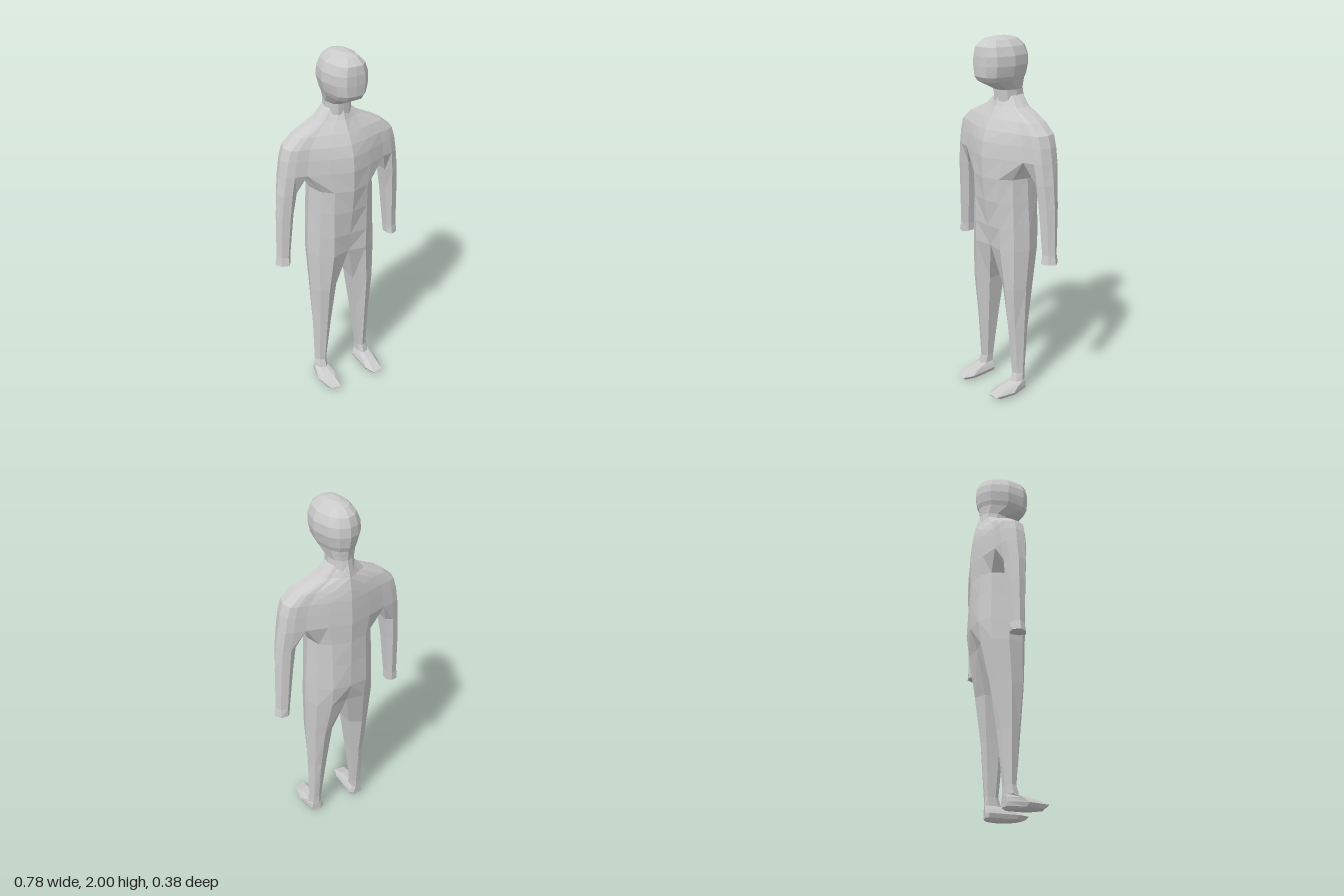
import * as THREE from 'three';

const material = new THREE.MeshStandardMaterial({ color: 0xcccccc, flatShading: true });

// Horizontal cross-section: front columns outward, an outer side point, back columns inward
function section(y, xs, fronts, backs) {
  const n = fronts.length;
  const ring = fronts.map((z, i) => [xs[i], y, z]);
  ring.push([xs[n], y, (fronts[n - 1] + backs[n - 1]) / 2]);
  for (let i = n - 1; i >= 0; i--) ring.push([xs[i], y, backs[i]]);
  return ring;
}

// Skin rings listed from top to bottom; side -1 mirrors the skin across x = 0
function skin(out, rings, side, { closed = false, capTop = false, capBottom = false } = {}) {
  const tri = (a, b, c) => {
    for (const p of side > 0 ? [a, b, c] : [a, c, b]) out.push(p[0] * side, p[1], p[2]);
  };
  const n = rings[0].length;
  for (let r = 0; r + 1 < rings.length; r++) {
    const a = rings[r], b = rings[r + 1];
    for (let i = 0; i < (closed ? n : n - 1); i++) {
      const j = (i + 1) % n;
      tri(b[i], b[j], a[j]);
      tri(b[i], a[j], a[i]);
    }
  }
  const top = rings[0], bottom = rings[rings.length - 1];
  for (let i = 1; i + 1 < n; i++) {
    if (capTop) tri(top[0], top[i], top[i + 1]);
    if (capBottom) tri(bottom[0], bottom[i + 1], bottom[i]);
  }
}

function makeMesh(name, rings, sides, options) {
  const positions = [];
  for (const side of sides) skin(positions, rings, side, options);
  const geometry = new THREE.BufferGeometry();
  geometry.setAttribute('position', new THREE.Float32BufferAttribute(positions, 3));
  geometry.computeVertexNormals();
  const mesh = new THREE.Mesh(geometry, material);
  mesh.name = name;
  return mesh;
}

export function createModel() {
  const model = new THREE.Group();
  model.name = 'figure';
  const both = [1, -1];

  // Head and neck: y, half width, front z, back z
  const headRows = [
    [2.0, 0.025, 0.045, -0.05],
    [1.987, 0.062, 0.1, -0.105],
    [1.955, 0.094, 0.134, -0.145],
    [1.91, 0.112, 0.141, -0.163],
    [1.86, 0.114, 0.142, -0.167],
    [1.805, 0.1, 0.139, -0.158],
    [1.78, 0.088, 0.122, -0.147],
    [1.75, 0.075, 0.06, -0.142],
    [1.73, 0.066, 0.022, -0.14],
    [1.67, 0.068, 0.018, -0.15],
  ];
  const headRings = headRows.map(([y, w, f, b]) => {
    const c = (f + b) / 2;
    return section(y, [0, 0.45 * w, 0.8 * w, w],
      [1, 0.97, 0.72].map((k) => c + (f - c) * k),
      [1, 0.88, 0.6].map((k) => c + (b - c) * k));
  });
  model.add(makeMesh('head', headRings, both, { capTop: true }));

  // Chest and shoulders: y, half width, front z, front edge z, back z, back edge z
  const chestRows = [
    [1.7, 0.066, 0.016, -0.03, -0.148, -0.1],
    [1.645, 0.12, 0.035, -0.01, -0.165, -0.1],
    [1.585, 0.25, 0.07, 0.005, -0.178, -0.1],
    [1.53, 0.315, 0.1, 0.01, -0.185, -0.1],
    [1.47, 0.334, 0.12, 0.01, -0.188, -0.1],
    [1.39, 0.347, 0.13, 0.01, -0.19, -0.1],
  ];
  const spread = [1, 0.67, 0.3, 0.17, 0];
  const chestRings = chestRows.map(([y, w, f, fe, b, be]) =>
    section(y, [0, 0.35, 0.66, 0.84, 0.95, 1].map((t) => t * w),
      spread.map((k) => fe + (f - fe) * k),
      spread.map((k) => be + (b - be) * k)));
  model.add(makeMesh('chest', chestRings, both, { capTop: true }));

  // Waist and hips, from the armpits down to the crotch
  const hipTop = section(0.88, [0, 0.1, 0.17, 0.199], [0.07, 0.09, 0.05], [-0.145, -0.16, -0.12]);
  const waistRings = [
    section(1.39, [0, 0.1215, 0.229, 0.23], [0.13, 0.09, 0.046], [-0.19, -0.16, -0.127]),
    section(1.28, [0, 0.1, 0.155, 0.178], [0.128, 0.1, 0.05], [-0.188, -0.163, -0.12]),
    section(1.15, [0, 0.1, 0.16, 0.185], [0.113, 0.095, 0.05], [-0.188, -0.168, -0.122]),
    section(1.0, [0, 0.1, 0.165, 0.195], [0.09, 0.092, 0.05], [-0.187, -0.175, -0.125]),
    hipTop,
  ];
  model.add(makeMesh('waist', waistRings, both));

  // Arms, each ending in a flat wrist
  const armRings = [
    section(1.39, [0.229, 0.2915, 0.33, 0.347], [0.046, 0.03, 0.01], [-0.127, -0.115, -0.1]),
    section(1.28, [0.27, 0.305, 0.345, 0.364], [0, 0.022, 0.005], [-0.085, -0.105, -0.09]),
    section(1.15, [0.286, 0.315, 0.355, 0.375], [-0.015, 0.012, -0.005], [-0.08, -0.1, -0.085]),
    section(0.9, [0.309, 0.33, 0.365, 0.382], [-0.025, -0.003, -0.015], [-0.07, -0.088, -0.075]),
    section(0.85, [0.31, 0.33, 0.37, 0.392], [-0.025, 0.005, -0.01], [-0.065, -0.085, -0.08]),
  ];

  // Legs, running straight into the feet
  const heel = [-0.036, -0.05, -0.042];
  const legRings = [
    hipTop,
    section(0.65, [0.055, 0.12, 0.168, 0.192], [0.03, 0.073, 0.05], [-0.08, -0.115, -0.09]),
    section(0.4, [0.083, 0.125, 0.16, 0.185], [0.015, 0.05, 0.03], [-0.06, -0.078, -0.065]),
    section(0.12, [0.11, 0.13, 0.16, 0.178], [0.002, 0.024, 0.012], [-0.04, -0.05, -0.045]),
    section(0.073, [0.11, 0.13, 0.165, 0.182], [0.015, 0.04, 0.025], heel),
    section(0.055, [0.1, 0.122, 0.172, 0.192], [0.09, 0.125, 0.11], heel),
    section(0.033, [0.092, 0.115, 0.175, 0.2], [0.13, 0.187, 0.178], heel),
    section(0.012, [0.1, 0.12, 0.172, 0.19], [0.11, 0.165, 0.15], heel),
    section(0, [0.114, 0.13, 0.162, 0.175], [0.06, 0.1, 0.09], [-0.025, -0.035, -0.03]),
  ];

  const limb = { closed: true, capBottom: true };
  for (const side of both) {
    const label = side > 0 ? 'left' : 'right';
    model.add(makeMesh(label + 'Arm', armRings, [side], limb));
    model.add(makeMesh(label + 'Leg', legRings, [side], limb));
  }
  return model;
}
